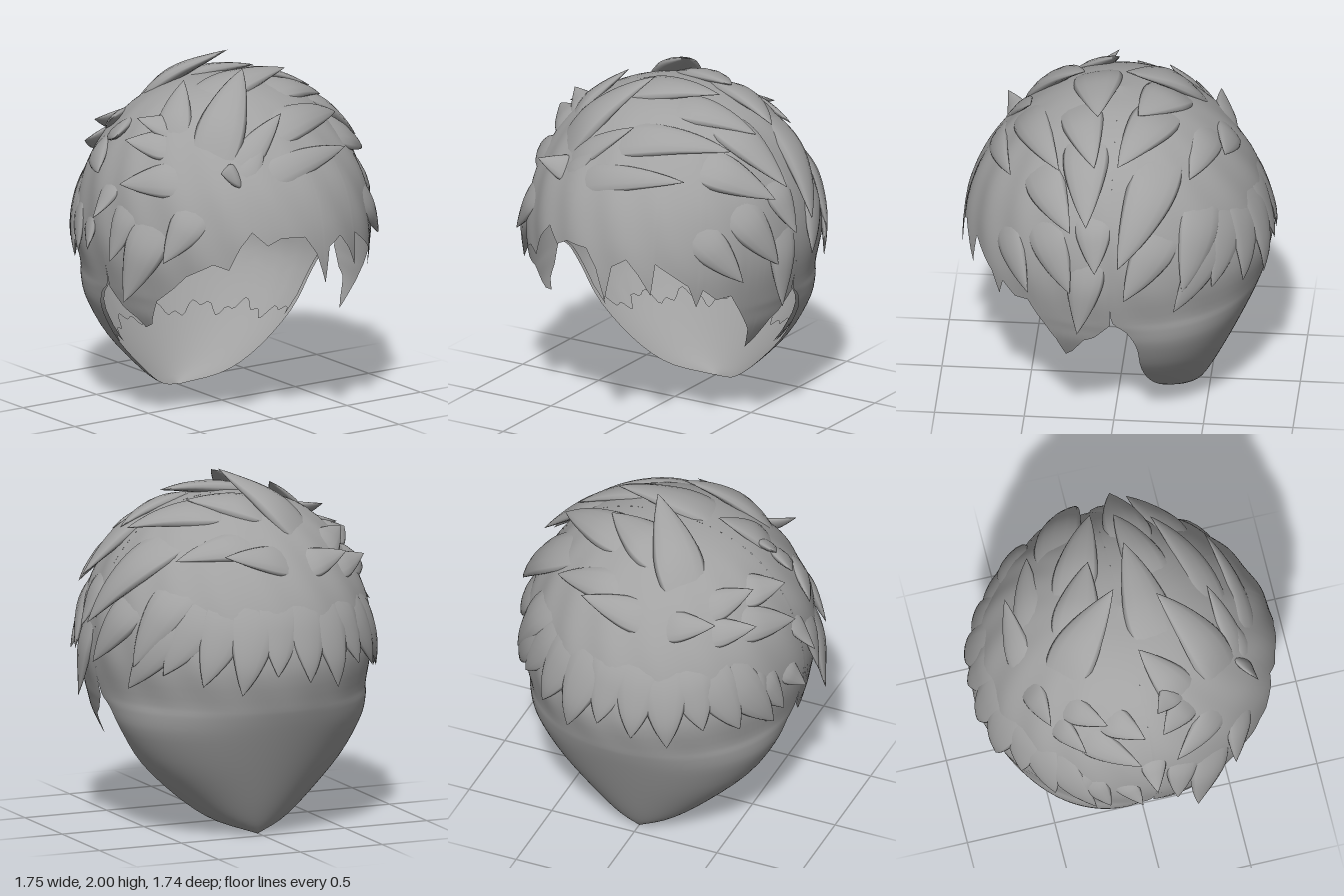
import * as THREE from 'three';

const hairMat = new THREE.MeshStandardMaterial({ color: 0xa2a2a2, side: THREE.DoubleSide });
hairMat.name = 'hair grey';
const V = (x, y, z) => new THREE.Vector3(x, y, z);
const CENTER = V(0, 1, 0);

// Horizontal sections from crown to nape: y, half width, front depth, back depth, side edge z
const SECTIONS = [
  [1.87, 0, 0, 0, 0], [1.84, 0.24, 0.25, 0.24, 0], [1.75, 0.46, 0.44, 0.42, 0],
  [1.6, 0.62, 0.61, 0.59, 0], [1.4, 0.74, 0.76, 0.73, 0], [1.2, 0.795, 0.845, 0.81, 0],
  [1.0, 0.805, 0.88, 0.85, 0], [0.8, 0.77, 0.88, 0.81, -0.01], [0.72, 0.75, 0.87, 0.785, -0.09],
  [0.6, 0.71, 0.86, 0.735, -0.145], [0.4, 0.59, 0.8, 0.645, -0.16], [0.2, 0.39, 0.7, 0.55, -0.2],
  [0.07, 0.21, 0.6, 0.48, -0.28], [0, 0.005, 0.5, 0.43, -0.42],
];
const widthFront = new THREE.CatmullRomCurve3(SECTIONS.map(s => V(s[1], s[0], s[2])), false, 'catmullrom');
const backEdge = new THREE.CatmullRomCurve3(SECTIONS.map(s => V(s[3], s[0], s[4])), false, 'catmullrom');

// Section parameter for a height
function paramAt(y) {
  let a = 0, b = 1;
  for (let i = 0; i < 24; i++) {
    const m = (a + b) / 2;
    if (widthFront.getPoint(m).y > y) a = m; else b = m;
  }
  return (a + b) / 2;
}

// Point on the cap at an angle (0 = front, 90 = left side)
function capPoint(theta, s, back, scale) {
  const p = widthFront.getPoint(s), q = backEdge.getPoint(s);
  const fade = THREE.MathUtils.smoothstep(p.y, 0.7, 1.1) * (1 - THREE.MathUtils.smoothstep(p.y, 1.6, 1.85));
  const k = scale * (1 + 0.006 * fade * Math.sin(theta * 17 + p.y * 9));
  const c = Math.cos(theta);
  const z = back ? q.z + c * (q.x + q.z) : c * p.z;
  return V(p.x * Math.sin(theta) * k, 1 + (p.y - 1) * scale, z * k);
}

// Grid geometry from rows of points, optionally closed around each row
function gridGeometry(lines, closed) {
  const n = lines[0].length, pos = lines.flat().flatMap(p => p.toArray()), index = [];
  for (let i = 1; i < lines.length; i++) {
    for (let k = 0; k < (closed ? n : n - 1); k++) {
      const k2 = (k + 1) % n, a = (i - 1) * n, b = i * n;
      index.push(a + k, a + k2, b + k, a + k2, b + k2, b + k);
    }
  }
  const g = new THREE.BufferGeometry();
  g.setAttribute('position', new THREE.Float32BufferAttribute(pos, 3));
  g.setIndex(index);
  g.computeVertexNormals();
  return g;
}

// Surface running from the crown to a hem; columns are [degrees, hem height]
function capGeometry(columns, back, scale = 1, rows = 44) {
  return gridGeometry(columns.map(([deg, hem]) => {
    const end = paramAt(hem);
    return Array.from({ length: rows + 1 }, (_, j) => capPoint(deg * Math.PI / 180, end * j / rows, back, scale));
  }).reverse(), false);
}

// Jagged fringe and sideburns
const HEM = [
  [-90, 0.77], [-84, 0.67], [-78, 0.62], [-75, 0.57], [-71, 0.6], [-66, 0.75], [-58, 0.84], [-52, 0.92],
  [-48, 0.95], [-41, 1.0], [-35, 0.97], [-30, 1.1], [-25, 1.18], [-19, 1.1], [-13, 1.14], [-3, 1.13],
  [2, 1.03], [6.5, 0.85], [9, 1.05], [15, 1.1], [20, 1.02], [25.5, 0.9], [26.5, 1.08], [33, 1.02], [40, 0.95],
  [44, 0.82], [46, 0.92], [52, 0.85], [58, 0.86], [63, 0.75], [69, 0.62], [72, 0.49], [75, 0.53],
  [80, 0.64], [84, 0.67], [90, 0.77],
];
const fringeColumns = HEM.flatMap(([a, y], i) => {
  if (i === HEM.length - 1) return [[a, y]];
  const [b, z] = HEM[i + 1];
  return [0, 0.25, 0.5, 0.75].map(t => [a + (b - a) * t, y + (z - y) * t]);
});
const backColumns = Array.from({ length: 81 }, (_, i) => [90 + i * 2.25, 0]);
const liningColumns = backColumns.map(([a], i) => [a, 0.36 + 0.03 * Math.sin(i * 0.5) + 0.02 * Math.sin(i * 1.3)]);

// Distance from the centre to the cap along a direction
function capRadius(dir) {
  let a = 0, b = 1.4;
  for (let i = 0; i < 18; i++) {
    const m = (a + b) / 2, p = dir.clone().multiplyScalar(m).add(CENTER);
    let inside = false;
    if (p.y < 1.87 && p.y > 0) {
      const s = paramAt(p.y), w = widthFront.getPoint(s);
      const depth = p.z > 0 ? w.z : backEdge.getPoint(s).x;
      inside = (p.x / w.x) ** 2 + (p.z / depth) ** 2 < 1;
    }
    if (inside) a = m; else b = m;
  }
  return a;
}

// Pointed lock: emerges gently from the cap at its root, swells, and lifts off at the tip
function lockGeometry(root, tip, width, thick) {
  const steps = 20, sides = 12;
  const d0 = root.clone().sub(CENTER).normalize(), d1 = tip.clone().sub(CENTER);
  const tipRadius = d1.length();
  d1.normalize();
  const lift = tipRadius - capRadius(d1);
  const path = Array.from({ length: steps + 1 }, (_, i) => {
    const t = i / steps, d = d0.clone().lerp(d1, t).normalize();
    return d.multiplyScalar(capRadius(d) - 0.03 + (lift + 0.03) * t ** 2).add(CENTER);
  });
  return gridGeometry(path.map((p, i) => {
    const t = i / steps;
    const tangent = path[Math.min(i + 1, steps)].clone().sub(path[Math.max(i - 1, 0)]).normalize();
    const side = new THREE.Vector3().crossVectors(tangent, p.clone().sub(CENTER)).normalize();
    const up = new THREE.Vector3().crossVectors(side, tangent);
    const w = width * (0.45 + 0.55 * Math.sin(Math.min(1, t / 0.55) * Math.PI / 2)) * (1 - t ** 2.2);
    const h = w * thick * THREE.MathUtils.smoothstep(t, -0.1, 0.6);
    return Array.from({ length: sides }, (_, k) => {
      const a = k / sides * Math.PI * 2;
      return p.clone().addScaledVector(side, Math.cos(a) * w).addScaledVector(up, Math.sin(a) * h);
    });
  }), true);
}

// Lock groups: root xyz, tip xyz, half width
const LOCKS = {
  crownLock: [
    [-0.35, 1.65, -0.5, 0.06, 2.0, -0.03, 0.17], [-0.5, 1.45, 0.55, 0.0, 1.95, 0.2, 0.17],
    [-0.58, 1.55, 0.3, -0.28, 1.89, 0.03, 0.13], [-0.35, 1.75, 0.15, 0.36, 1.88, 0.1, 0.17],
    [-0.2, 1.78, -0.35, 0.3, 1.86, -0.12, 0.17], [0.0, 1.8, -0.3, 0.62, 1.71, -0.03, 0.16],
    [0.0, 1.82, 0.25, 0.6, 1.69, 0.1, 0.15],
  ],
  frontSweepLock: [
    [-0.45, 1.4, 0.62, 0.05, 1.75, 0.5, 0.11], [-0.42, 1.38, 0.66, 0.43, 1.52, 0.58, 0.11],
    [-0.25, 1.6, 0.55, 0.56, 1.64, 0.3, 0.14], [-0.4, 1.35, 0.7, -0.12, 1.65, 0.58, 0.09],
  ],
  leftSideLock: [
    [0.25, 1.75, 0.15, 0.82, 1.43, 0.13, 0.16], [0.3, 1.72, -0.3, 0.87, 1.2, -0.05, 0.17],
    [0.3, 1.6, 0.45, 0.8, 1.38, 0.22, 0.15], [0.6, 1.45, -0.35, 0.85, 0.98, -0.08, 0.15],
    [0.55, 1.45, 0.42, 0.82, 1.0, 0.22, 0.15], [0.72, 1.3, 0.1, 0.82, 0.74, 0.18, 0.13],
    [0.45, 1.35, 0.65, 0.74, 0.95, 0.46, 0.13], [0.4, 1.55, -0.5, 0.75, 1.0, -0.4, 0.16],
    [0.6, 1.5, 0.1, 0.85, 1.15, 0.08, 0.13],
  ],
  rightSideLock: [
    [-0.5, 1.48, 0.53, -0.79, 1.39, 0.13, 0.13], [-0.5, 1.55, -0.48, -0.79, 1.41, -0.07, 0.13],
    [-0.7, 1.42, 0, -0.88, 1.18, 0, 0.09], [-0.76, 1.2, -0.22, -0.86, 0.98, -0.08, 0.09],
    [-0.5, 1.62, 0.32, -0.71, 1.62, 0.07, 0.12], [-0.5, 1.65, -0.28, -0.71, 1.61, -0.03, 0.12],
    [-0.45, 1.7, 0.25, -0.62, 1.73, 0.06, 0.1], [-0.68, 1.3, 0.38, -0.84, 0.74, 0.24, 0.16],
    [-0.5, 1.38, 0.57, -0.74, 1.0, 0.48, 0.13], [-0.6, 1.4, -0.45, -0.74, 0.88, -0.36, 0.13],
    [-0.67, 1.3, -0.42, -0.8, 0.92, -0.25, 0.12], [-0.7, 1.38, 0.2, -0.85, 0.95, 0.12, 0.12],
    [-0.3, 1.5, 0.65, -0.48, 1.52, 0.67, 0.09],
  ],
  whorlLock: [
    [-0.25, 1.55, -0.6, 0.28, 1.62, -0.6, 0.12], [-0.15, 1.55, -0.63, -0.5, 1.58, -0.52, 0.11],
    [-0.35, 1.6, -0.5, -0.6, 1.66, -0.22, 0.11], [-0.4, 1.5, -0.55, -0.68, 1.52, -0.36, 0.1],
    [-0.1, 1.65, -0.5, 0.5, 1.58, -0.42, 0.13],
  ],
};
// Ring of overlapping locks falling over the back of the head
LOCKS.backLock = [-68, -52, -37, -23, -9, 5, 19, 34, 50, 66].map((deg, i) => {
  const a = deg * Math.PI / 180;
  return [0.45 * Math.sin(a) - 0.06, 1.5, -0.65, 0.83 * Math.sin(a), 0.87 + 0.05 * (i % 3), -0.865 * Math.cos(a), 0.17];
});

export function createModel() {
  const group = new THREE.Group();
  group.name = 'hair';
  const add = (name, geometry) => {
    const mesh = new THREE.Mesh(geometry, hairMat);
    mesh.name = name;
    group.add(mesh);
  };
  add('frontCap', capGeometry(fringeColumns, false));
  add('backCap', capGeometry(backColumns, true));
  // Inner lining behind the face opening
  add('innerLining', capGeometry(liningColumns, true, 0.975, 20));
  for (const [name, list] of Object.entries(LOCKS)) {
    for (const [a, b, c, d, e, f, w] of list) {
      add(name, lockGeometry(V(a, b, c), V(d, e, f), w, name === 'backLock' ? 0.24 : 0.36));
    }
  }
  return group;
}
